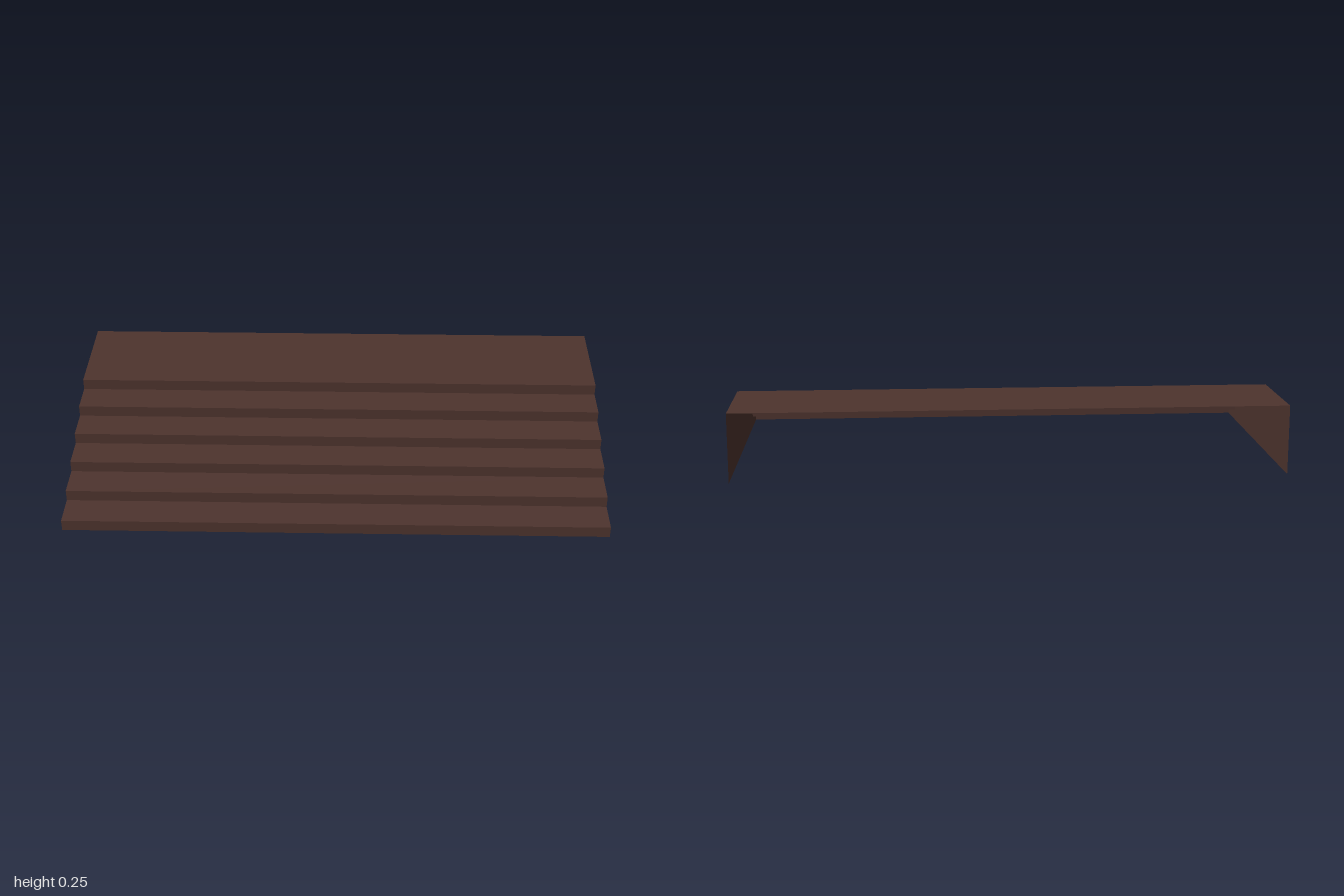
import * as THREE from 'three';

const WIDTH = 2, DEPTH = 1, HEIGHT = 0.254, STEPS = 6, RUN = 0.125;
const RISE = HEIGHT / STEPS;

export function createModel() {
  const group = new THREE.Group();
  group.name = 'staircase';
  const brown = new THREE.MeshStandardMaterial({ color: 0x4e342e, side: THREE.DoubleSide });
  brown.name = 'dark brown';

  const add = (name, geometry, x, y, z) => {
    const mesh = new THREE.Mesh(geometry, brown);
    mesh.name = name;
    mesh.position.set(x, y, z);
    group.add(mesh);
    return mesh;
  };

  // Risers and treads; the last tread is the deep landing. Back and underside stay open.
  const profile = new THREE.Shape();
  profile.moveTo(-DEPTH / 2, 0);
  for (let i = 0; i < STEPS; i++) {
    const top = (i + 1) * RISE;
    const front = DEPTH / 2 - i * RUN;
    const back = i === STEPS - 1 ? -DEPTH / 2 : front - RUN;

    add(`riser${i + 1}`, new THREE.PlaneGeometry(WIDTH, RISE), 0, top - RISE / 2, front);
    add(i === STEPS - 1 ? 'landing' : `tread${i + 1}`,
      new THREE.PlaneGeometry(WIDTH, front - back).rotateX(-Math.PI / 2),
      0, top, (front + back) / 2);

    profile.lineTo(-front, top);
    profile.lineTo(-back, top);
  }
  profile.lineTo(DEPTH / 2, 0);
  profile.closePath();

  // Stepped side walls, mirrored
  const sideGeometry = new THREE.ShapeGeometry(profile).rotateY(Math.PI / 2);
  add('leftSide', sideGeometry, WIDTH / 2, 0, 0);
  add('rightSide', sideGeometry, -WIDTH / 2, 0, 0).scale.x = -1;

  return group;
}
